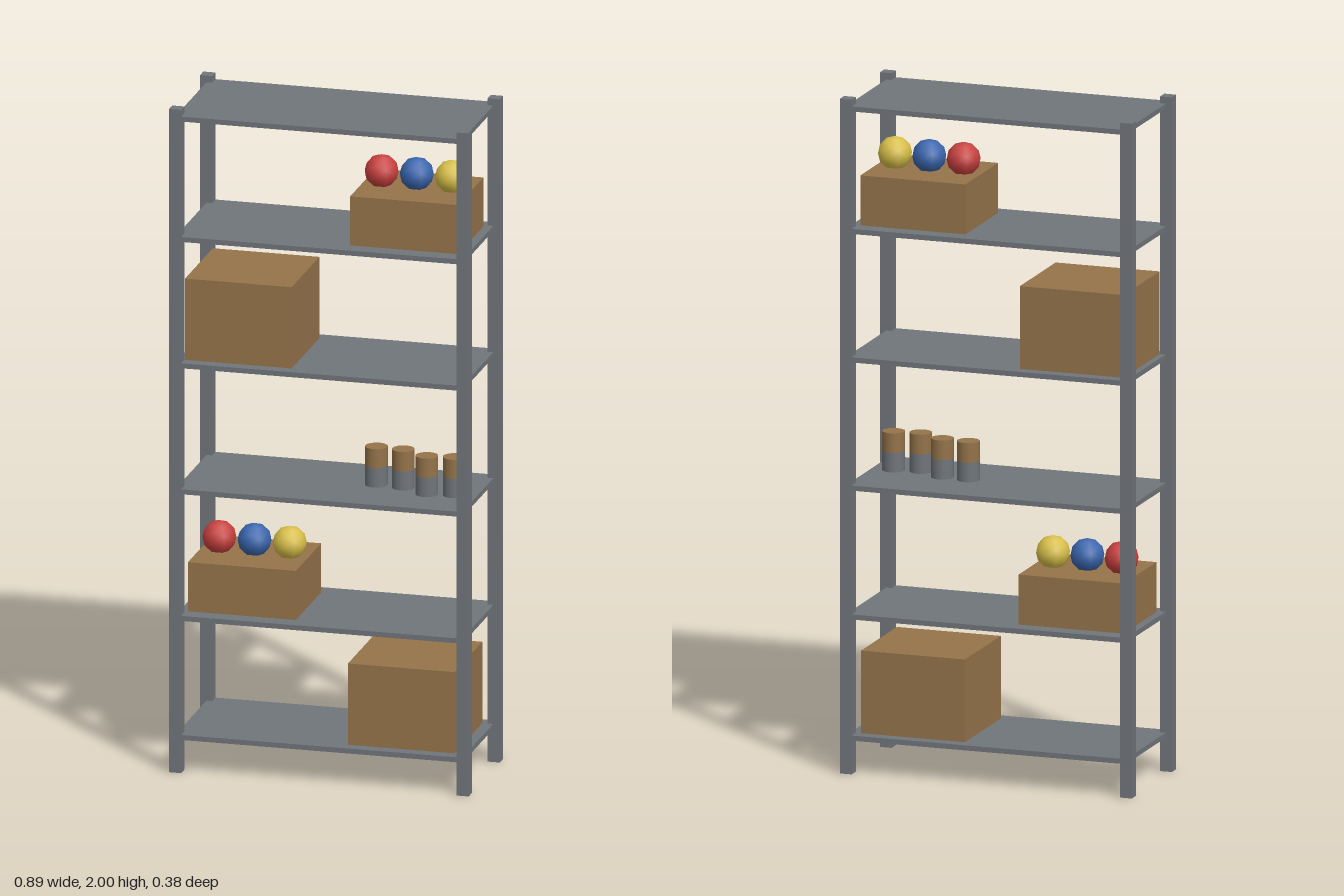
import * as THREE from 'three';

export function createModel() {
  const model = new THREE.Group();
  model.name = 'stockedShelf';

  const mat = (name, color) => {
    const m = new THREE.MeshStandardMaterial({ color });
    m.name = name;
    return m;
  };
  const steel = mat('steelGrey', 0x70757a);
  const cardboard = mat('cardboardBrown', 0x94734a);
  const ballColors = [mat('red', 0xc8403e), mat('blue', 0x3a66ae), mat('yellow', 0xd8bf48)];

  const add = (parent, name, geometry, material, x, y, z) => {
    const mesh = new THREE.Mesh(geometry, material);
    mesh.name = name;
    mesh.position.set(x, y, z);
    parent.add(mesh);
    return mesh;
  };

  // Four corner posts
  const post = new THREE.BoxGeometry(0.036, 2, 0.036);
  for (const sx of [-1, 1]) {
    for (const sz of [-1, 1]) {
      const name = (sz > 0 ? 'front' : 'back') + (sx > 0 ? 'Left' : 'Right') + 'Post';
      add(model, name, post, steel, sx * 0.429, 1, sz * 0.17);
    }
  }

  // Six shelf boards, given by their top heights
  const thickness = 0.015;
  const tops = [0.115, 0.474, 0.856, 1.236, 1.617, 1.98];
  const board = new THREE.BoxGeometry(0.856, thickness, 0.375);
  tops.forEach((top, i) => add(model, `shelf${i + 1}`, board, steel, 0, top - thickness / 2, 0));

  // Tall closed boxes
  const tallBox = new THREE.BoxGeometry(0.318, 0.245, 0.304);
  add(model, 'lowerTallBox', tallBox, cardboard, 0.236, tops[0] + 0.1225, 0);
  add(model, 'upperTallBox', tallBox, cardboard, -0.25, tops[3] + 0.1225, 0);

  // Low boxes with three faceted balls resting on top
  const lowBox = new THREE.BoxGeometry(0.322, 0.148, 0.277);
  const ball = new THREE.IcosahedronGeometry(0.05, 1);
  const ballBox = (name, x, top) => {
    const group = new THREE.Group();
    group.name = name;
    group.position.set(x, top, 0);
    add(group, 'lowBox', lowBox, cardboard, 0, 0.074, 0);
    ballColors.forEach((m, i) => add(group, `${m.name}Ball`, ball, m, (i - 1) * 0.105, 0.188, 0));
    model.add(group);
  };
  ballBox('lowerBallBox', -0.243, tops[1]);
  ballBox('upperBallBox', 0.241, tops[4]);

  // Row of cans: grey lower half, brown upper half
  const halfCan = new THREE.CylinderGeometry(0.033, 0.033, 0.058, 16);
  [[0.119, -0.006], [0.201, 0.0], [0.283, 0.044], [0.362, 0.033]].forEach(([x, z], i) => {
    const can = new THREE.Group();
    can.name = `can${i + 1}`;
    can.position.set(x, tops[2], z);
    add(can, 'canBase', halfCan, steel, 0, 0.029, 0);
    add(can, 'canTop', halfCan, cardboard, 0, 0.087, 0);
    model.add(can);
  });

  return model;
}
